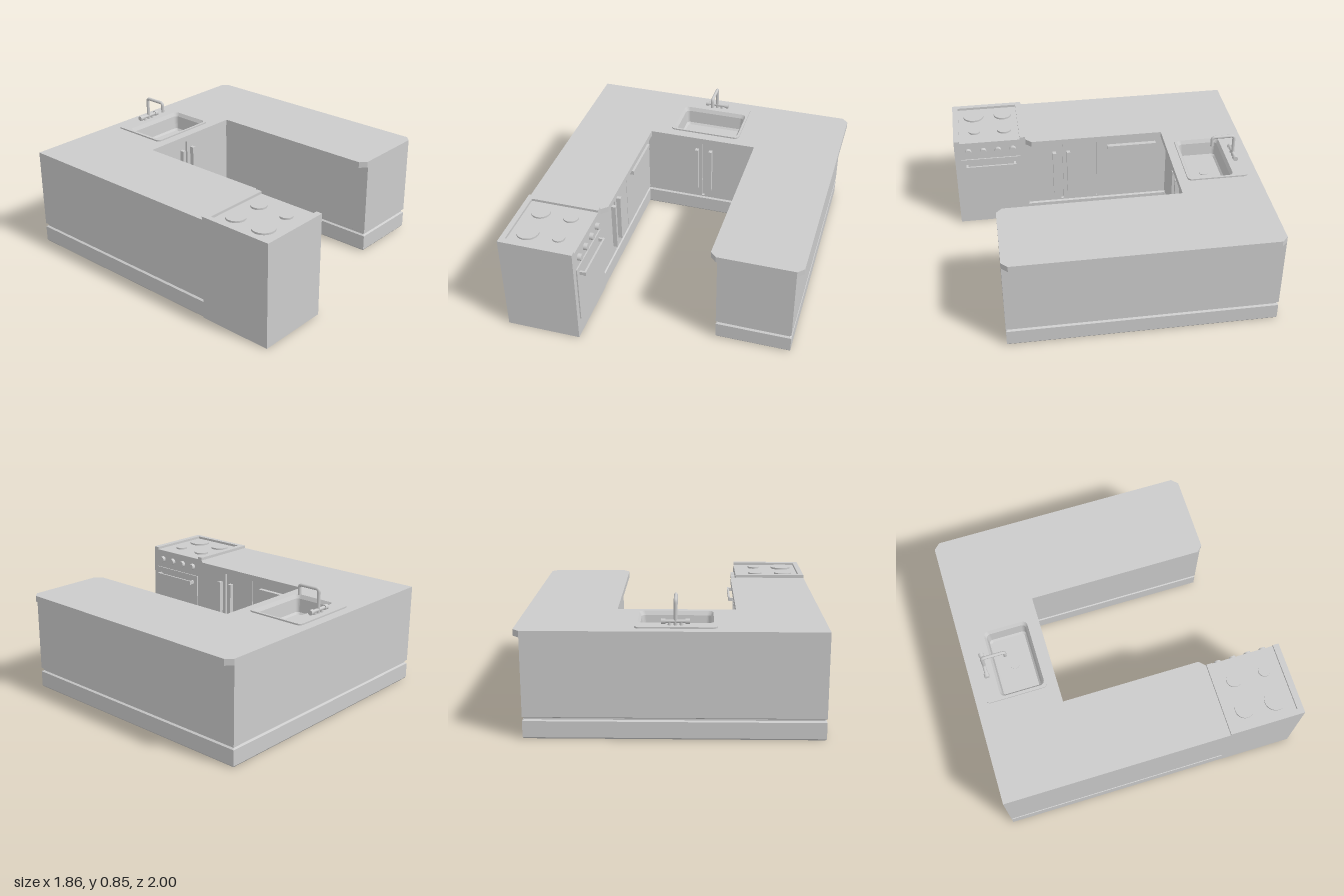
import * as THREE from 'three';

const mat = new THREE.MeshStandardMaterial({ color: 0xcccccc });
const matFlat = new THREE.MeshStandardMaterial({ color: 0xcccccc, flatShading: true });

export function createModel() {
  const root = new THREE.Group();

  const add = (name, geo, x = 0, y = 0, z = 0, parent = root, m = mat) => {
    const mesh = new THREE.Mesh(geo, m);
    mesh.name = name;
    mesh.position.set(x, y, z);
    parent.add(mesh);
    return mesh;
  };
  // box given by its limits
  const box = (name, x0, x1, y0, y1, z0, z1, parent = root) =>
    add(name, new THREE.BoxGeometry(x1 - x0, y1 - y0, z1 - z0),
      (x0 + x1) / 2, (y0 + y1) / 2, (z0 + z1) / 2, parent);
  const group = (name) => {
    const g = new THREE.Group();
    g.name = name;
    root.add(g);
    return g;
  };
  // walls through closed rings of [x, y, z]
  const loft = (rings) => {
    const pos = [], idx = [], n = rings[0].length;
    rings.forEach((r) => r.forEach((p) => pos.push(...p)));
    for (let r = 0; r < rings.length - 1; r++) {
      for (let i = 0; i < n; i++) {
        const a = r * n + i, b = r * n + (i + 1) % n;
        idx.push(a, b, b + n, a, b + n, a + n);
      }
    }
    let g = new THREE.BufferGeometry();
    g.setAttribute('position', new THREE.Float32BufferAttribute(pos, 3));
    g.setIndex(idx);
    g = g.toNonIndexed();
    g.computeVertexNormals();
    return g;
  };
  const shapeOf = (pts) => new THREE.Shape(pts.map(([x, z]) => new THREE.Vector2(x, -z)));
  const slab = (shape, h) =>
    new THREE.ExtrudeGeometry(shape, { depth: h, bevelEnabled: false }).rotateX(-Math.PI / 2);
  // rounded rectangle on the ground plane
  const roundRect = (x0, x1, z0, z1, r) => {
    const s = new THREE.Shape(), b = -z1, t = -z0, q = Math.PI / 2;
    s.absarc(x1 - r, b + r, r, -q, 0);
    s.absarc(x1 - r, t - r, r, 0, q);
    s.absarc(x0 + r, t - r, r, q, 2 * q);
    s.absarc(x0 + r, b + r, r, 2 * q, 3 * q);
    return new THREE.Shape(s.getPoints(5));
  };

  // U-shaped cabinet body: d insets the outline, g recesses the door sides
  const outline = (d, g = 0) => [
    [-0.93 + d, 0.5 - d], [-0.44 - d - g, 0.5 - d], [-0.44 - d - g, -0.51 - d - g],
    [0.4 + d, -0.51 - d - g], [0.4 + d, 0.75 - d], [0.89 - d, 0.75 - d],
    [0.89 - d, -1 + d], [-0.93 + d, -1 + d],
  ];
  const rows = [[0.008, 0], [0, 0.01], [0, 0.112], [0.012, 0.12], [0.012, 0.13],
    [0, 0.138], [0, 0.14, 0.015], [0, 0.635, 0.015]];
  const cabinets = group('cabinets');
  add('cabinetBody', loft(rows.map(([d, y, g]) => outline(d, g).map(([x, z]) => [x, y, z]))),
    0, 0, 0, cabinets, matFlat);
  add('cabinetBottom', new THREE.ShapeGeometry(
    new THREE.Shape(outline(0.008).map(([x, z]) => new THREE.Vector2(x, z)))).rotateX(Math.PI / 2),
    0, 0, 0, cabinets);

  // Doors and handles of the back run
  for (const [a, b, h] of [[-0.44, -0.035, -0.0725], [-0.015, 0.4, 0.0275]]) {
    box('backDoor', a, b, 0.138, 0.63, -0.525, -0.51, cabinets);
    box('backDoorHandle', h - 0.0125, h + 0.0125, 0.21, 0.55, -0.51, -0.48, cabinets);
  }
  // Doors and handles of the side run
  for (const [a, b, h] of [[0.26, 0.5, 0.3], [0.003, 0.24, 0.2]]) {
    box('sideDoor', -0.455, -0.44, 0.138, 0.63, a, b, cabinets);
    box('sideDoorHandle', -0.44, -0.41, 0.21, 0.55, h - 0.0125, h + 0.0125, cabinets);
  }
  box('appliancePanel', -0.455, -0.44, 0.138, 0.63, -0.51, -0.003, cabinets);
  box('appliancePanelHandle', -0.44, -0.41, 0.545, 0.575, -0.43, -0.08, cabinets);

  // Countertop with clipped corners and a cut-out for the sink
  const top = shapeOf([
    [-0.93, 0.5], [-0.44, 0.5], [-0.4, 0.46], [-0.4, -0.46], [0.35, -0.46],
    [0.35, 0.71], [0.39, 0.75], [0.89, 0.75], [0.93, 0.71], [0.93, -0.96], [0.89, -1], [-0.93, -1],
  ]);
  top.holes.push(roundRect(-0.26, 0.21, -0.84, -0.527, 0.03));
  add('countertop', slab(top, 0.04), 0, 0.63, 0);

  // Sink rim, basin and drain
  const sink = group('sink');
  const basin = (d) => roundRect(-0.255 + d, 0.205 - d, -0.835 + d, -0.54 - d, 0.032 - d * 0.4);
  const rim = roundRect(-0.275, 0.22, -0.935, -0.525, 0.03);
  rim.holes.push(basin(0));
  add('sinkRim', slab(rim, 0.012), 0, 0.668, 0, sink);
  const basinRows = [[0, 0.68], [0.014, 0.655], [0.022, 0.565], [0.034, 0.552]];
  add('sinkBasin', loft(basinRows.map(([d, y]) =>
    basin(d).getPoints().map((p) => [p.x, y, -p.y]))), 0, 0, 0, sink);
  add('sinkFloor', new THREE.ShapeGeometry(basin(0.034)).rotateX(-Math.PI / 2), 0, 0.552, 0, sink);
  add('drain', new THREE.CylinderGeometry(0.03, 0.03, 0.006, 24), -0.025, 0.554, -0.69, sink);

  // Faucet: bent spout, cross bar and two taps
  const faucet = group('faucet');
  const V = (y, z) => new THREE.Vector3(-0.025, y, z);
  const path = new THREE.CurvePath();
  path.add(new THREE.LineCurve3(V(0.675, -0.885), V(0.815, -0.885)));
  path.add(new THREE.QuadraticBezierCurve3(V(0.815, -0.885), V(0.835, -0.885), V(0.835, -0.865)));
  path.add(new THREE.LineCurve3(V(0.835, -0.865), V(0.835, -0.755)));
  path.add(new THREE.QuadraticBezierCurve3(V(0.835, -0.755), V(0.835, -0.735), V(0.815, -0.735)));
  path.add(new THREE.LineCurve3(V(0.815, -0.735), V(0.77, -0.735)));
  add('spout', new THREE.TubeGeometry(path, 60, 0.011, 12), 0, 0, 0, faucet);
  add('spoutEnd', new THREE.CylinderGeometry(0.011, 0.011, 0.002, 12), -0.025, 0.77, -0.735, faucet);
  const rod = (r, l, s = 16) => new THREE.CylinderGeometry(r, r, l, s).rotateZ(Math.PI / 2);
  add('crossBar', rod(0.011, 0.15), -0.025, 0.703, -0.885, faucet);
  for (const s of [-1, 1]) {
    add('tap', rod(0.017, 0.026), -0.025 + s * 0.072, 0.703, -0.885, faucet);
    add('tapFoot', new THREE.CylinderGeometry(0.009, 0.012, 0.03, 12),
      -0.025 + s * 0.035, 0.69, -0.885, faucet);
  }

  // Stove body with a raised rim on three sides of the hob
  const stove = group('stove');
  box('stoveBody', -0.93, -0.44, 0, 0.673, 0.5, 1, stove);
  add('hobRim', slab(shapeOf([[-0.93, 1], [-0.44, 1], [-0.44, 0.96], [-0.895, 0.96],
    [-0.895, 0.54], [-0.44, 0.54], [-0.44, 0.5], [-0.93, 0.5]]), 0.017), 0, 0.673, 0, stove);
  for (const [x, z, r] of [[-0.79, 0.64, 0.063], [-0.585, 0.64, 0.051],
    [-0.79, 0.85, 0.073], [-0.585, 0.85, 0.041]]) {
    add('burner', new THREE.CylinderGeometry(r, r, 0.012, 32), x, 0.679, z, stove);
  }
  // Knobs
  for (let i = 0; i < 4; i++) {
    add('knob', rod(0.023, 0.025, 20), -0.4275, 0.605, 0.592 + i * 0.104, stove);
  }
  // Oven door: frame around the window, plus its handle
  const frame = new THREE.Shape([[0.54, 0.13], [0.96, 0.13], [0.96, 0.54], [0.54, 0.54]]
    .map(([z, y]) => new THREE.Vector2(-z, y)));
  frame.holes.push(new THREE.Path([[0.58, 0.17], [0.92, 0.17], [0.92, 0.45], [0.58, 0.45]]
    .map(([z, y]) => new THREE.Vector2(-z, y))));
  add('ovenDoor', new THREE.ExtrudeGeometry(frame, { depth: 0.008, bevelEnabled: false })
    .rotateY(Math.PI / 2), -0.44, 0, 0, stove);
  box('ovenHandle', -0.402, -0.39, 0.475, 0.503, 0.575, 0.925, stove);
  for (const z of [0.582, 0.918]) {
    box('ovenHandlePost', -0.44, -0.395, 0.477, 0.501, z - 0.007, z + 0.007, stove);
  }
  return root;
}
